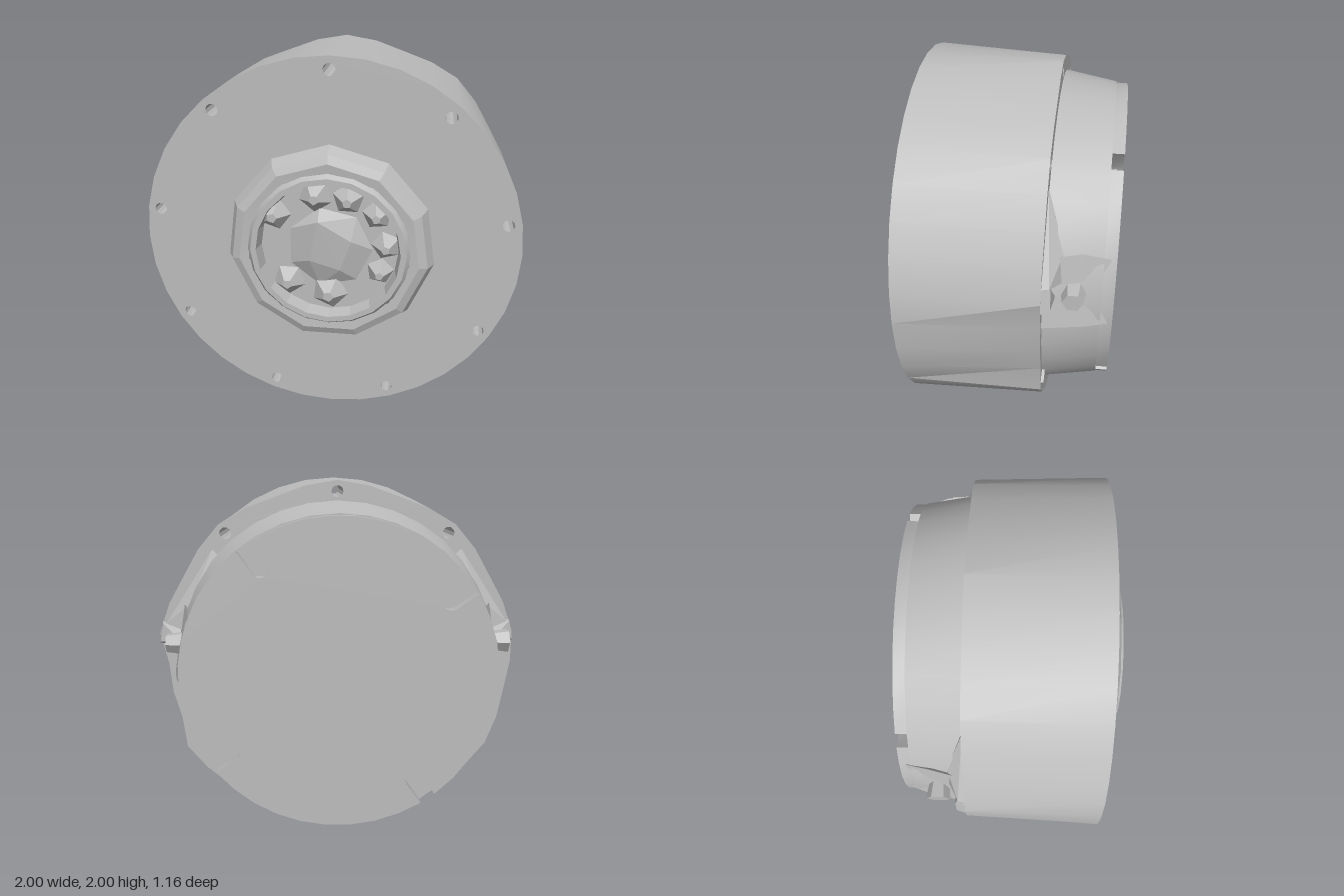
import * as THREE from 'three';
import { toCreasedNormals } from 'three/addons/utils/BufferGeometryUtils.js';
import { ConvexGeometry } from 'three/addons/geometries/ConvexGeometry.js';

const FRONT = 0.475, BACK = -0.24, TAIL = -0.58, SHELF = -0.52, FLOOR = 0.505;
const rad = THREE.MathUtils.degToRad;
const polar = (r, deg) => new THREE.Vector2(r * Math.cos(rad(deg)), r * Math.sin(rad(deg)));
const polar3 = (r, deg, z) => new THREE.Vector3(r * Math.cos(rad(deg)), r * Math.sin(rad(deg)), z);

export function createModel() {
  const grey = new THREE.MeshStandardMaterial({ color: 0xbcbcbc });
  grey.name = 'grey';
  const model = new THREE.Group();
  model.name = 'flangedHousing';
  const housing = new THREE.Group();
  housing.name = 'housing';
  housing.position.y = 1; // the axis runs along z at this height
  model.add(housing);

  const add = (name, geometry, crease = 0.5) => {
    const mesh = new THREE.Mesh(toCreasedNormals(geometry, crease), grey);
    mesh.name = name;
    housing.add(mesh);
    return mesh;
  };
  // profile points are [radius, z]
  const turned = (profile, sides) =>
    new THREE.LatheGeometry(profile.map(([r, z]) => new THREE.Vector2(r, z)), sides)
      .rotateX(Math.PI / 2).rotateZ(Math.PI);

  // Main drum with nine through holes; the back rim bulges at each hole
  // and has a dent on one side
  const disc = new THREE.Shape(Array.from({ length: 36 }, (_, i) => polar(1, i * 10)));
  for (let i = 0; i < 9; i++) {
    const c = polar(0.932, 10 + i * 40);
    disc.holes.push(new THREE.Path().absarc(c.x, c.y, 0.032, 0, Math.PI * 2, true));
  }
  const drum = new THREE.ExtrudeGeometry(disc, { depth: FRONT - BACK, bevelEnabled: false, curveSegments: 5 });
  drum.translate(0, 0, BACK);
  const p = drum.attributes.position;
  for (let i = 0; i < p.count; i++) {
    const x = p.getX(i), y = p.getY(i);
    if (p.getZ(i) < 0 && Math.hypot(x, y) > 0.98) {
      const angle = Math.atan2(y, x);
      const dented = angle > rad(-25) && angle < rad(5);
      const s = dented ? 0.935 : 0.976 + 0.014 * Math.cos(9 * (angle - rad(10)));
      p.setXY(i, x * s, y * s);
    }
  }
  drum.computeVertexNormals();
  add('drum', drum, 0.3);

  // Tapered rear cap
  add('rearCap', turned([[0, SHELF], [0.833, SHELF], [0.885, BACK + 0.005]], 36));

  // Rear plate with four round-ended slots open to the edge
  const slotAngles = [55, 145, 235, 325];
  const R = 0.826, W = 0.045, SLOT = 0.69;
  const outline = [];
  for (const a of slotAngles) {
    const local = [[R, -W], [SLOT, -W]];
    for (let k = 1; k < 6; k++) {
      const t = rad(-90 - k * 30);
      local.push([SLOT + W * Math.cos(t), W * Math.sin(t)]);
    }
    local.push([SLOT, W], [R, W]);
    for (const [x, y] of local) outline.push(new THREE.Vector2(x, y).rotateAround(new THREE.Vector2(), rad(a)));
    for (let k = 1; k < 9; k++) outline.push(polar(R, a + 3 + k * 84 / 9));
  }
  const plate = new THREE.ExtrudeGeometry(new THREE.Shape(outline), { depth: SHELF - TAIL, bevelEnabled: false });
  add('rearPlate', plate.translate(0, 0, TAIL));

  // Screw in each slot
  for (const a of slotAngles) {
    const c = polar(SLOT, a);
    add('slotScrew', new THREE.CylinderGeometry(0.032, 0.026, 0.03, 6).rotateX(-Math.PI / 2).translate(c.x, c.y, SHELF - 0.012));
  }

  // Side pads, bolt lugs, gussets and rim tabs, mirrored
  for (const side of [1, -1]) {
    const mirrored = (points) => new ConvexGeometry(points.map((v) => new THREE.Vector3(v.x * side, v.y, v.z)));
    add('sidePad', mirrored([polar3(0.9, -2, BACK), polar3(0.9, 22, BACK), polar3(0.86, -2, -0.45), polar3(0.87, 24, -0.42),
      polar3(0.82, -2, -0.57), polar3(0.82, 22, -0.57), polar3(0.7, 10, BACK), polar3(0.7, 10, -0.57)]), 0.2);
    add('gusset', mirrored([polar3(0.97, 14, BACK), polar3(0.92, 43, BACK), polar3(0.8, 43, BACK),
      polar3(0.96, 14, -0.275), polar3(0.86, 14, -0.33), polar3(0.86, 24, -0.33)]), 0.1);
    const lug = add('sideLug', new THREE.CylinderGeometry(0.065, 0.05, 0.1, 6).rotateZ(Math.PI / 2), 0.1);
    lug.position.set(side * 0.86, 0.15, -0.385);
    add('rimTab', mirrored([polar3(0.985, 7, BACK), polar3(0.985, 14, BACK), polar3(0.975, 8, -0.285), polar3(0.975, 14, -0.285),
      polar3(0.85, 6, BACK), polar3(0.85, 15, BACK), polar3(0.86, 9, -0.3)]), 0.1);
    const lowTab = add('lowerRimTab', new THREE.BoxGeometry(0.07, 0.07, 0.02), 0.1);
    lowTab.position.set(side * 0.8, -0.465, -0.245);
    lowTab.rotation.z = side * rad(-30);
  }

  // Raised faceted boss around a shallow recess
  add('frontBoss', turned([[0.56, FRONT - 0.005], [0.525, 0.54], [0.48, 0.56], [0.43, 0.555]], 11), 0.2);
  add('innerRing', turned([[0.44, 0.54], [0.41, 0.58], [0.38, 0.58], [0.365, FLOOR], [0, FLOOR]], 20), 0.3);

  // Hub in the recess, with an off-centre peak
  const hub = Array.from({ length: 7 }, (_, i) => polar3(0.23, i * 360 / 7, FLOOR));
  hub.push(new THREE.Vector3(-0.05, 0.17, 0.575), new THREE.Vector3(-0.1, -0.06, 0.555),
    new THREE.Vector3(0.12, 0.06, 0.555), new THREE.Vector3(0.06, -0.11, 0.55));
  add('hub', new ConvexGeometry(hub), 0.2);

  // Faceted lugs around the hub: [x, y, size, turn]
  const lugs = [[-0.29, 0.18, 0.09, 0.3], [-0.07, 0.29, 0.09, 1.2], [0.1, 0.28, 0.085, 0.6], [0.25, 0.2, 0.08, 2],
    [0.3, 0.03, 0.08, 0.9], [0.27, -0.12, 0.075, 1.7], [0, -0.26, 0.1, 0.2], [-0.22, -0.2, 0.09, 2.5]];
  for (const [x, y, size, turn] of lugs) {
    const lug = add('recessLug', new THREE.CylinderGeometry(size * 0.3, size, 0.07, 5).rotateX(Math.PI / 2).rotateZ(turn), 0.1);
    lug.position.set(x, y, FLOOR + 0.035);
  }
  return model;
}
